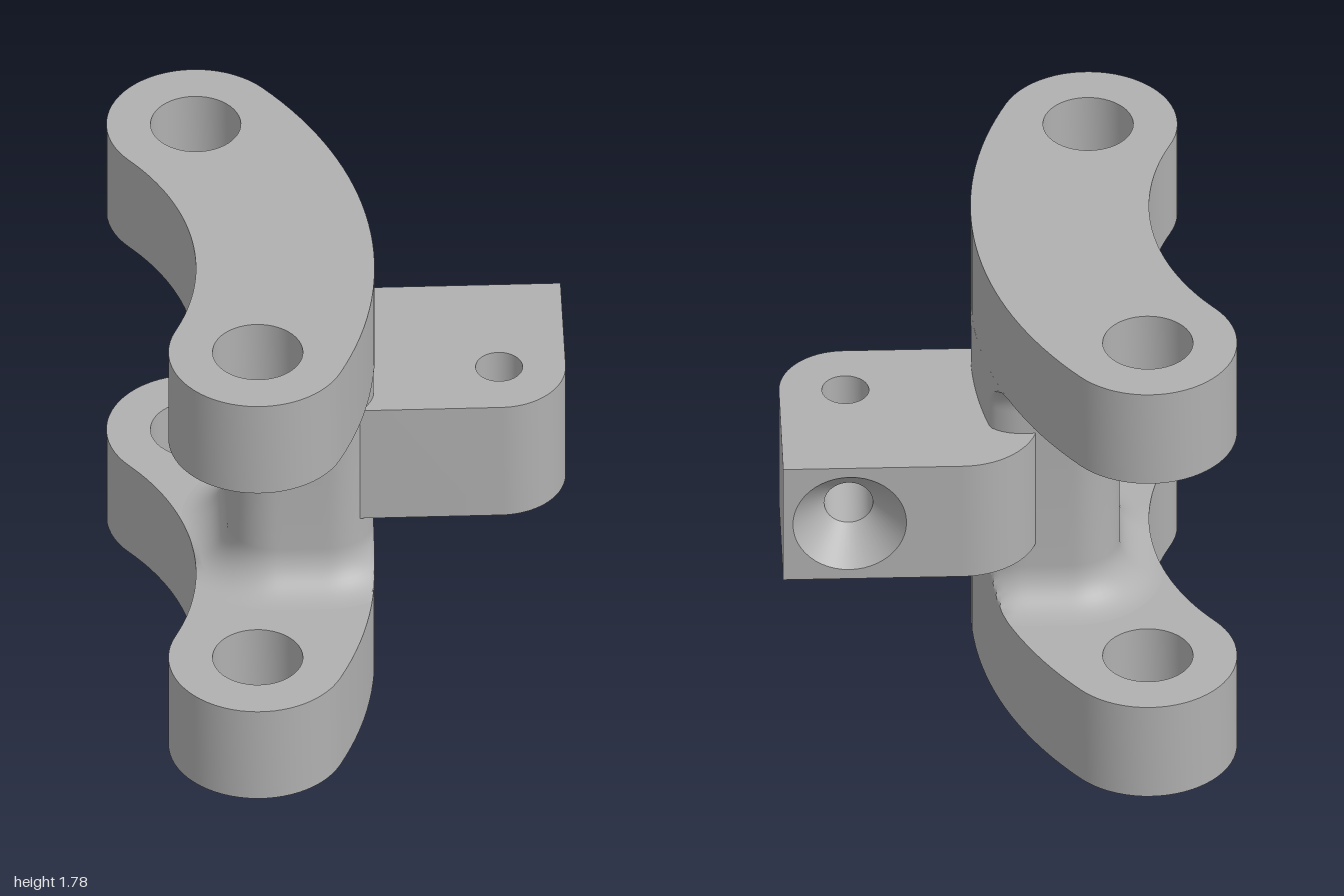
import * as THREE from 'three';
import { toCreasedNormals } from 'three/addons/utils/BufferGeometryUtils.js';

// The curved arms are a ring sector about C, in plan coordinates (x, -z)
const C = new THREE.Vector2(-1.485, -0.13);
const MID = 1.281, HALF = 0.322;
const BACK = 0.688, FRONT = -0.435; // end angles of the sector
const ARM = 0.395, TOP = 1.785;

// Points on an arc, without the last one so arcs can be chained
function arc(cx, cy, r, a0, a1, n) {
  return Array.from({ length: n }, (_, i) => {
    const a = a0 + ((a1 - a0) * i) / n;
    return new THREE.Vector2(cx + r * Math.cos(a), cy + r * Math.sin(a));
  });
}

function hole(cx, cy, r) {
  return new THREE.Path().setFromPoints(arc(cx, cy, r, 0, -2 * Math.PI, 48));
}

// Extrude a plan shape upward from height y
function slab(shape, y, height) {
  const g = new THREE.ExtrudeGeometry(shape, { depth: height, bevelEnabled: false });
  return g.rotateX(-Math.PI / 2).translate(0, y, 0);
}

function armShape() {
  const end = (a) => new THREE.Vector2(C.x + MID * Math.cos(a), C.y + MID * Math.sin(a));
  const b = end(BACK), f = end(FRONT);
  const shape = new THREE.Shape([
    ...arc(C.x, C.y, MID + HALF, FRONT, BACK, 32),
    ...arc(b.x, b.y, HALF, BACK, BACK + Math.PI, 32),
    ...arc(C.x, C.y, MID - HALF, BACK, FRONT, 32),
    ...arc(f.x, f.y, HALF, FRONT + Math.PI, FRONT + 2 * Math.PI, 32),
  ]);
  shape.holes.push(hole(b.x, b.y, 0.163), hole(f.x, f.y, 0.163));
  return shape;
}

// Rounded-rectangle post that flares into both arms and stays within their plan
function postGeometry() {
  const x0 = -0.41, x1 = 0.12, v0 = -0.24, v1 = 0.335, r = 0.17, fillet = 0.155;
  const corners = [[x1 - r, v0 + r], [x1 - r, v1 - r], [x0 + r, v1 - r], [x0 + r, v0 + r]];
  const section = (d) => {
    const pts = [];
    corners.forEach(([cx, cv], k) => {
      const a0 = ((k - 1) * Math.PI) / 2, a1 = a0 + Math.PI / 2;
      pts.push(...arc(cx, cv, r + d, a0, a1, 14));
      const p = new THREE.Vector2(cx + (r + d) * Math.cos(a1), cv + (r + d) * Math.sin(a1));
      const [nx, nv] = corners[(k + 1) % 4];
      const q = p.clone().add(new THREE.Vector2(nx - cx, nv - cv));
      for (let i = 0; i < 8; i++) pts.push(p.clone().lerp(q, i / 8));
    });
    return pts.map((p) => {
      const rel = p.sub(C);
      return rel.clampLength(MID - HALF, MID + HALF).add(C);
    });
  };
  const levels = [];
  for (let i = 0; i <= 12; i++) {
    const t = ((i / 12) * Math.PI) / 2;
    levels.push([ARM + fillet * (1 - Math.cos(t)), fillet * (1 - Math.sin(t))]);
  }
  levels.push(...levels.map(([y, d]) => [TOP - y, d]).reverse());
  const pos = [], idx = [];
  let n = 0;
  levels.forEach(([y, d], j) => {
    const s = section(d);
    n = s.length;
    s.forEach((p) => pos.push(p.x, y, -p.y));
    if (j === 0) return;
    for (let i = 0; i < n; i++) {
      const a = (j - 1) * n + i, b = (j - 1) * n + ((i + 1) % n);
      idx.push(a, b, b + n, a, b + n, a + n);
    }
  });
  const g = new THREE.BufferGeometry();
  g.setAttribute('position', new THREE.Float32BufferAttribute(pos, 3));
  g.setIndex(idx);
  return g;
}

// Lug body with its flat back wall left open for the countersunk panel
const LUG = { y: 0.65, h: 0.49, back: 0.53, left: 0.165, right: 0.815, hx: 0.575 };
function lugGeometry() {
  const R = 0.28, V = THREE.Vector2;
  const shape = new THREE.Shape([
    new V(LUG.left - R, -0.195),
    ...arc(LUG.hx, 0.045, 0.24, -Math.PI / 2, 0, 20), new V(LUG.right, 0.045),
    new V(LUG.right, LUG.back),
    ...arc(LUG.left, LUG.back - R, R, Math.PI / 2, Math.PI, 20),
    new V(LUG.left - R, LUG.back - R),
  ]);
  shape.holes.push(hole(LUG.hx, 0.045, 0.085));
  const g = slab(shape, LUG.y, LUG.h);
  const p = g.attributes.position, kept = [];
  for (let i = 0; i < p.count; i += 3) {
    if ([0, 1, 2].every((k) => p.getZ(i + k) < -LUG.back + 1e-4)) continue;
    for (let k = 0; k < 3; k++) kept.push(p.getX(i + k), p.getY(i + k), p.getZ(i + k));
  }
  const open = new THREE.BufferGeometry();
  open.setAttribute('position', new THREE.Float32BufferAttribute(kept, 3));
  return open;
}

export function createModel() {
  const group = new THREE.Group();
  const grey = new THREE.MeshStandardMaterial({ color: 0xb0b0b0, side: THREE.DoubleSide });
  grey.name = 'grey metal';
  const add = (name, geometry) => {
    const mesh = new THREE.Mesh(toCreasedNormals(geometry, 0.6), grey);
    mesh.name = name;
    group.add(mesh);
    return mesh;
  };

  // Two identical curved arms joined by the post
  add('lowerArm', slab(armShape(), 0, ARM));
  add('upperArm', slab(armShape(), TOP - ARM, ARM));
  add('post', postGeometry());

  // Side lug
  add('lug', lugGeometry());
  const cy = LUG.y + LUG.h / 2;
  const panel = new THREE.Shape([
    new THREE.Vector2(-LUG.right, LUG.y), new THREE.Vector2(-LUG.left, LUG.y),
    new THREE.Vector2(-LUG.left, LUG.y + LUG.h), new THREE.Vector2(-LUG.right, LUG.y + LUG.h),
  ]);
  panel.holes.push(hole(-LUG.hx, cy, 0.205));
  add('lugBackFace', new THREE.ShapeGeometry(panel).rotateY(Math.PI).translate(0, 0, -LUG.back));

  // Countersunk bore in the back of the lug
  const bore = [[0.205, 0], [0.088, 0.13], [0.088, 0.395], [0, 0.395]];
  const lathe = new THREE.LatheGeometry(bore.map(([r, d]) => new THREE.Vector2(r, d)), 48);
  add('countersunkBore', lathe.rotateX(Math.PI / 2).translate(LUG.hx, cy, -LUG.back));

  return group;
}
